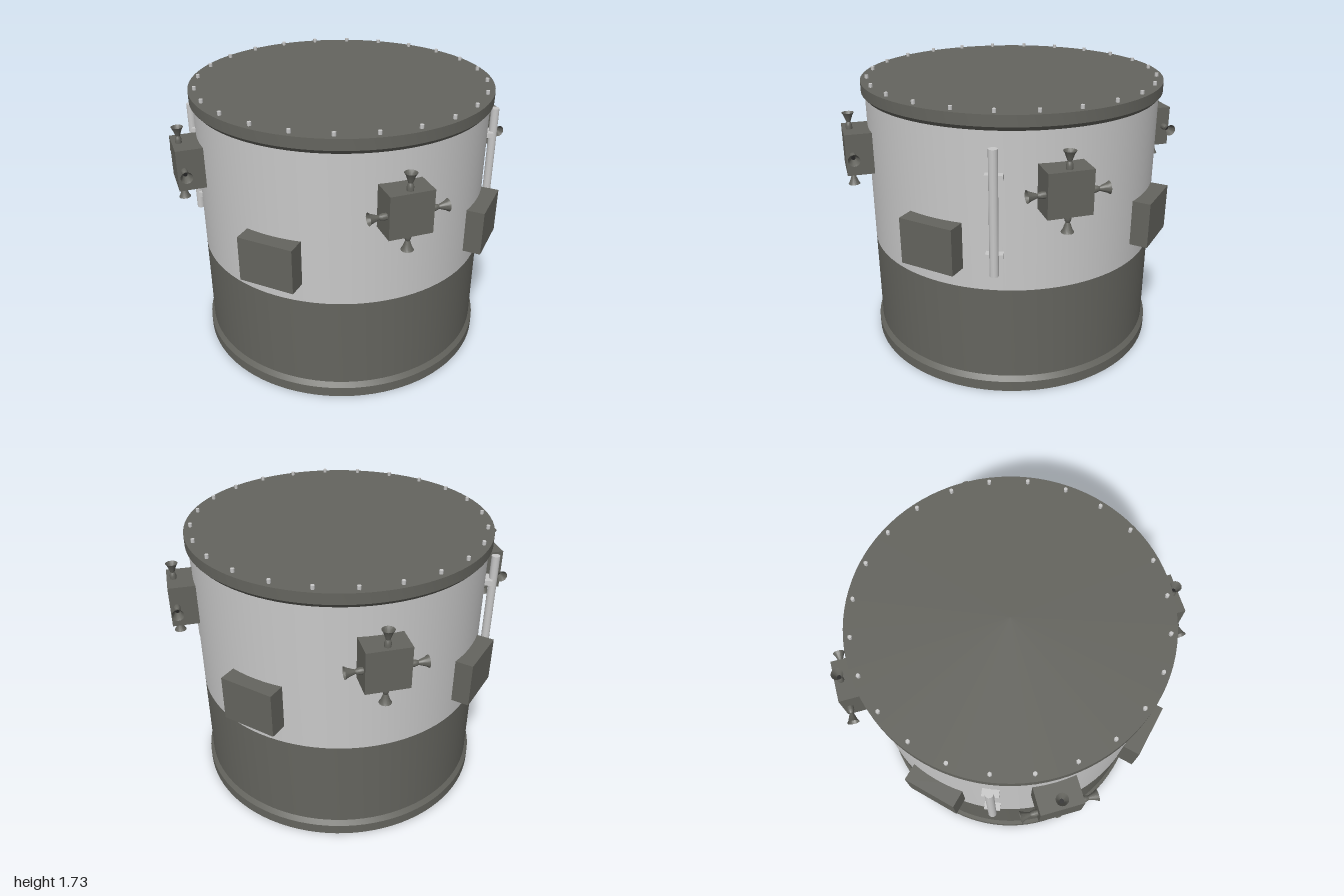
import * as THREE from 'three';
import { toCreasedNormals } from 'three/addons/utils/BufferGeometryUtils.js';

const flat = (name, color, side = THREE.FrontSide) => {
  const m = new THREE.MeshStandardMaterial({ color, side });
  m.name = name;
  return m;
};

export function createModel() {
  const root = new THREE.Group();
  root.name = 'serviceModule';
  const dark = flat('darkGrey', 0x64645e, THREE.DoubleSide);
  const light = flat('lightGrey', 0xc8c8c8, THREE.DoubleSide);
  const black = flat('black', 0x242424, THREE.DoubleSide);

  const add = (parent, name, geometry, material, x = 0, y = 0, z = 0) => {
    const mesh = new THREE.Mesh(geometry, material);
    mesh.name = name;
    mesh.position.set(x, y, z);
    parent.add(mesh);
    return mesh;
  };
  const lathe = (points, segments = 96) => toCreasedNormals(
    new THREE.LatheGeometry(points.map(p => new THREE.Vector2(...p)), segments), 0.5);
  // a group turned so its local +z points outward at the given angle
  const outward = (name, angle) => {
    const g = new THREE.Group();
    g.name = name;
    g.rotation.y = angle;
    root.add(g);
    return g;
  };

  // hull: open skirt with a flared foot, light upper band, flared lid
  add(root, 'lowerSkirt', lathe([[0.885, 0], [0.93, 0], [0.93, 0.065], [0.908, 0.095],
    [0.908, 0.68], [0.885, 0.68], [0.885, 0]]), dark);
  add(root, 'upperHull', lathe([[0.908, 0.68], [0.908, 1.625]]), light);
  add(root, 'lid', lathe([[0.908, 1.615], [0.93, 1.64], [0.93, 1.705], [0, 1.705]]), dark);
  add(root, 'bulkhead', lathe([[0, 0.685], [0.9, 0.685]]), black);

  // bolts around the lid
  const boltGeo = new THREE.CylinderGeometry(0.012, 0.012, 0.03, 6);
  for (let i = 0; i < 24; i++) {
    const a = (i + 0.5) * Math.PI / 12;
    add(root, 'lidBolt', boltGeo, light, 0.89 * Math.cos(a), 1.712, 0.89 * Math.sin(a));
  }

  // main engine inside the skirt
  const bell = [[0.315, 0.11], [0.3, 0.16], [0.272, 0.22], [0.235, 0.28], [0.19, 0.33]];
  add(root, 'engineBell', lathe(bell, 64), dark);
  add(root, 'engineNeck', lathe([[0.19, 0.33], [0.17, 0.36], [0.12, 0.38], [0.12, 0.69]], 48), light);
  for (const [r, y] of [[0.315, 0.11], [0.19, 0.33]]) {
    const ring = add(root, 'bellRing', new THREE.TorusGeometry(r, 0.008, 8, 64), light, 0, y, 0);
    ring.rotation.x = Math.PI / 2;
  }

  // equipment boxes on the four sides
  const boxGeo = new THREE.BoxGeometry(0.34, 0.28, 0.15);
  for (let i = 0; i < 4; i++) {
    add(outward('sideBox', i * Math.PI / 2), 'equipmentBox', boxGeo, dark, 0, 0.94, 0.925);
  }

  // thruster pods on the diagonals, four small nozzles each
  const podGeo = new THREE.BoxGeometry(0.255, 0.255, 0.18);
  const nozzleGeo = lathe([[0.018, -0.01], [0.02, 0.02], [0.016, 0.035], [0.012, 0.043],
    [0.018, 0.06], [0.027, 0.085], [0.036, 0.1]], 20);
  for (let i = 0; i < 4; i++) {
    const pod = outward('thrusterPod', (i + 0.5) * Math.PI / 2);
    add(pod, 'podBody', podGeo, dark, 0, 1.308, 0.97);
    for (let k = 0; k < 4; k++) {
      const a = k * Math.PI / 2;
      const n = add(pod, 'thrusterNozzle', nozzleGeo, dark,
        -0.1275 * Math.sin(a), 1.308 + 0.1275 * Math.cos(a), 1.02);
      n.rotation.z = a;
      // blocked throat
      const plug = add(n, 'nozzleThroat', new THREE.CircleGeometry(0.013, 16), black, 0, 0.047, 0);
      plug.rotation.x = -Math.PI / 2;
    }
  }

  // two vertical handrails on opposite sides, each on two brackets
  const railGeo = new THREE.CylinderGeometry(0.026, 0.026, 0.735, 12);
  const bracketGeo = new THREE.BoxGeometry(0.1, 0.032, 0.055);
  for (const turn of [0, Math.PI]) {
    const rail = outward('handrail', Math.PI * 0.625 + turn);
    add(rail, 'railBar', railGeo, light, 0, 1.168, 0.957);
    for (const y of [0.91, 1.37]) add(rail, 'railBracket', bracketGeo, light, 0, y, 0.925);
  }
  return root;
}
